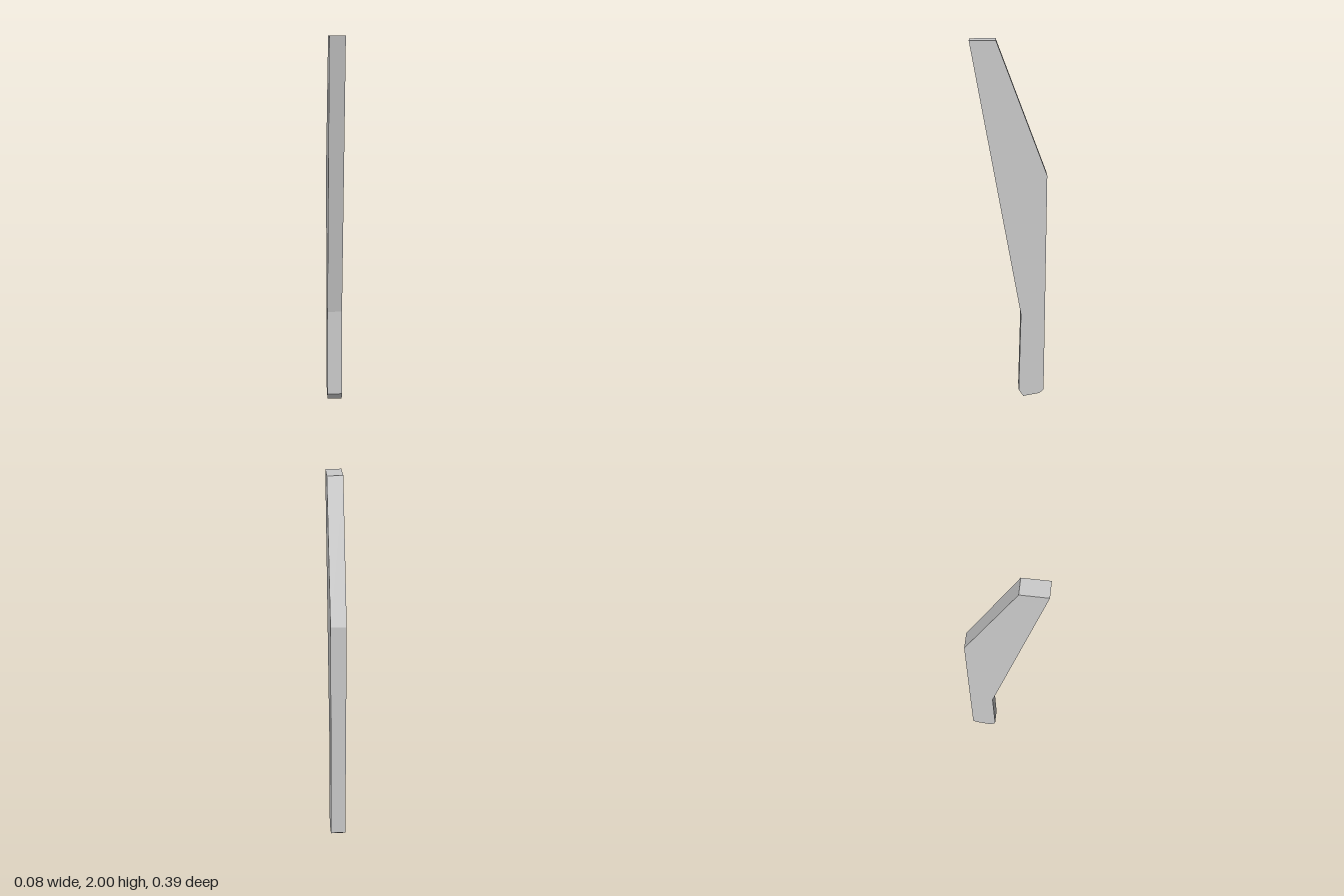
import * as THREE from 'three';

// Flat blade: a side profile given a small, even thickness
export function createModel() {
  const group = new THREE.Group();
  const thickness = 0.08;

  // Side profile as (z, y)
  const profile = [
    [-0.08, 0], [-0.17, 0.017], [-0.195, 0.04],  // chamfered foot
    [-0.195, 1.315], [0.065, 2],                 // straight back, then sloped spine
    [0.196, 2], [-0.064, 0.52], [-0.054, 0.04],  // tip, front edge, grip
  ].map(([z, y]) => new THREE.Vector2(z, y));

  const geometry = new THREE.ExtrudeGeometry(new THREE.Shape(profile), {
    depth: thickness,
    bevelEnabled: false,
  });
  geometry.translate(0, 0, -thickness / 2);
  geometry.rotateY(-Math.PI / 2); // profile's first axis becomes z

  const blade = new THREE.Mesh(
    geometry,
    new THREE.MeshStandardMaterial({ color: 0xcccccc, flatShading: true })
  );
  blade.name = 'blade';
  group.add(blade);
  return group;
}
